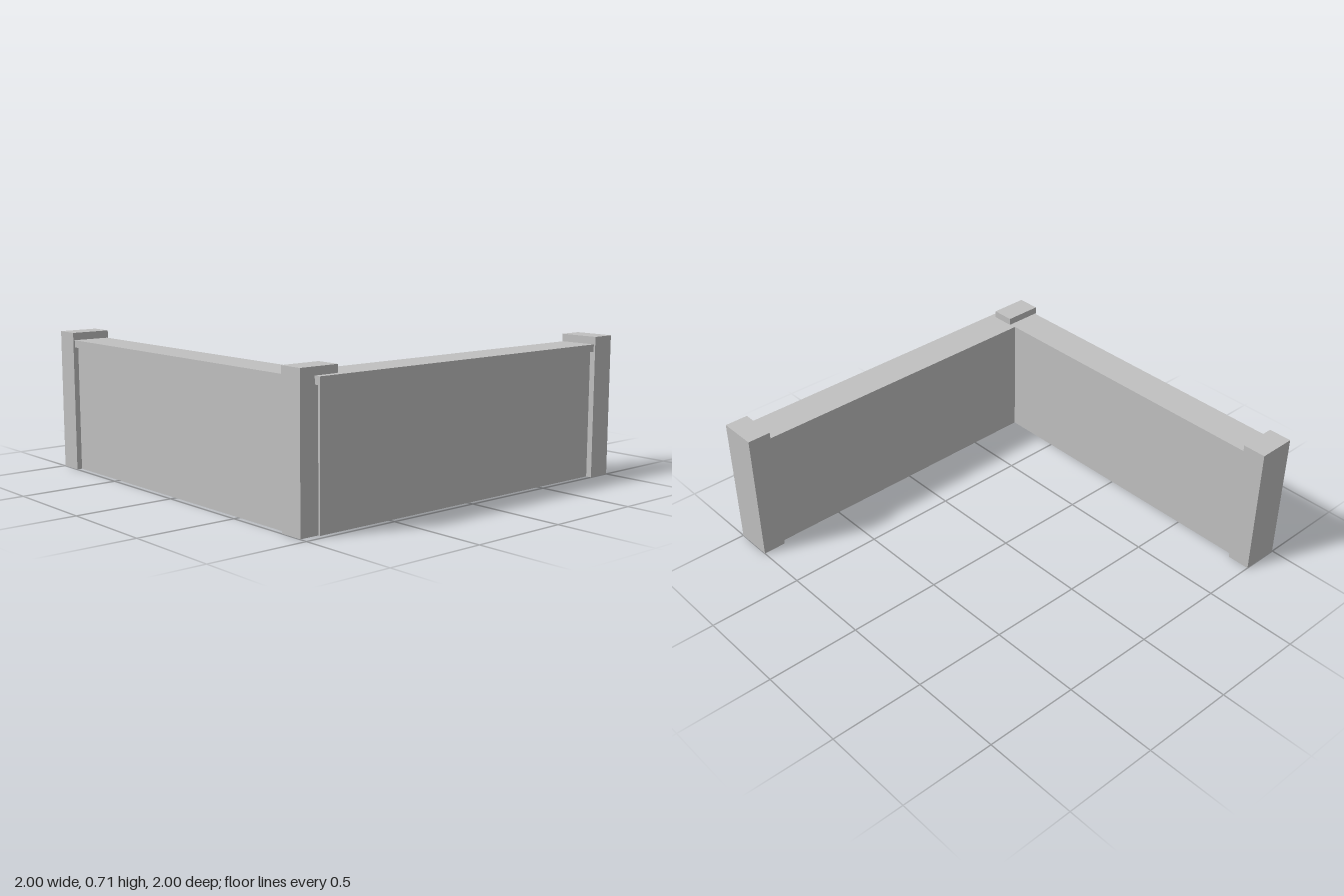
import * as THREE from 'three';

export function createModel() {
  const model = new THREE.Group();
  model.name = 'cornerWall';
  const stone = new THREE.MeshStandardMaterial({ color: 0xc0c0c0 });
  stone.name = 'grey stone';

  // Box given by its lower and upper bounds on each axis
  function block(name, [x0, x1], [y0, y1], [z0, z1]) {
    const mesh = new THREE.Mesh(new THREE.BoxGeometry(x1 - x0, y1 - y0, z1 - z0), stone);
    mesh.position.set((x0 + x1) / 2, (y0 + y1) / 2, (z0 + z1) / 2);
    mesh.name = name;
    model.add(mesh);
  }

  const postY = [0, 0.715], panelY = [0, 0.64], railY = [0.64, 0.677];

  // Posts at both ends and the corner
  block('frontEndPost', [-1, -0.875], postY, [0.793, 0.997]);
  block('cornerPost', [0.835, 0.958], postY, [0.793, 0.997]);
  block('backEndPost', [0.793, 1], postY, [-1, -0.875]);

  // Front wall with its overhanging coping
  block('frontPanel', [-0.88, 0.84], panelY, [0.818, 0.97]);
  block('frontCoping', [-0.88, 0.84], railY, [0.798, 0.989]);

  // Side wall, running on behind the corner post
  block('sidePanel', [0.818, 0.97], panelY, [-0.88, 0.9]);
  block('sideCoping', [0.798, 0.991], railY, [-0.88, 0.918]);

  return model;
}
